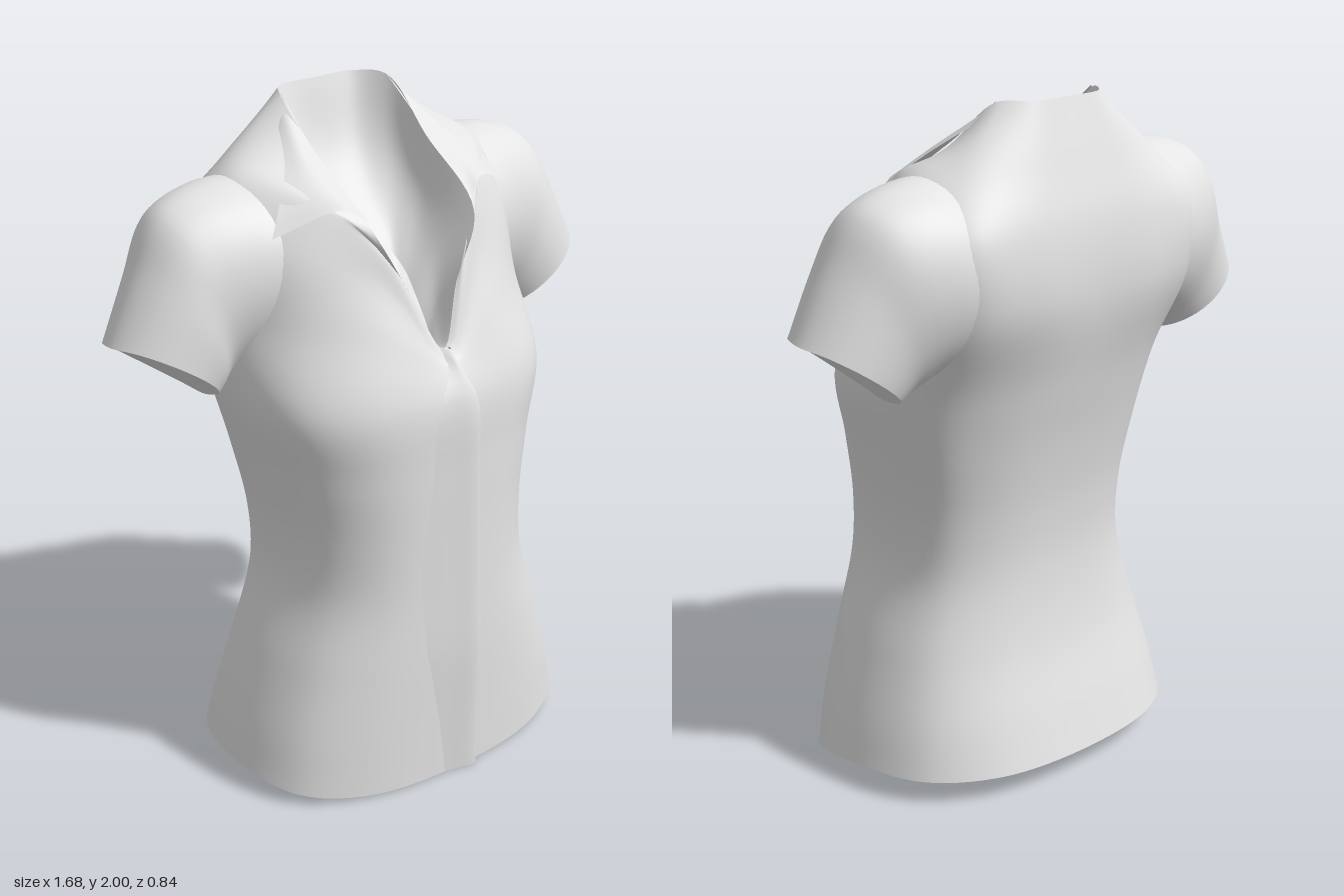
import * as THREE from 'three';

const V = (p) => new THREE.Vector3(...p);
const fabric = new THREE.MeshStandardMaterial({ color: 0xe4e4e4, side: THREE.DoubleSide });
fabric.name = 'light grey fabric';

// Grid surface from rows of points; wrap joins the last column to the first
function surface(name, rows, wrap) {
  const n = rows[0].length, pos = [], index = [];
  rows.forEach((row) => row.forEach((p) => pos.push(p.x, p.y, p.z)));
  for (let i = 0; i < rows.length - 1; i++) {
    for (let j = 0; j < (wrap ? n : n - 1); j++) {
      const k = (j + 1) % n;
      const a = i * n + j, b = i * n + k, c = a + n, d = b + n;
      index.push(a, b, c, b, d, c);
    }
  }
  const geo = new THREE.BufferGeometry();
  geo.setAttribute('position', new THREE.Float32BufferAttribute(pos, 3));
  geo.setIndex(index);
  geo.computeVertexNormals();
  const mesh = new THREE.Mesh(geo, fabric);
  mesh.name = name;
  return mesh;
}

// Smooth the control rings around and then across
function smoothRows(rings, closed, nu, nv) {
  const around = rings.map((r) => {
    const curve = new THREE.CatmullRomCurve3(r, closed);
    return Array.from({ length: closed ? nu : nu + 1 }, (_, j) => curve.getPoint(j / nu));
  });
  const across = around[0].map((_, j) => new THREE.CatmullRomCurve3(around.map((r) => r[j])));
  return Array.from({ length: nv + 1 }, (_, i) => across.map((c) => c.getPoint(i / nv)));
}

// Fan that closes an opening
function cap(name, ring, centre, flip) {
  const pts = flip ? [...ring].reverse() : ring;
  return surface(name, [pts, pts.map(() => centre)], true);
}

// Half ring from front centre to back centre, mirrored to a full ring
function mirrorRing(half) {
  const pts = half.map(V);
  for (let i = half.length - 2; i > 0; i--) pts.push(V([-half[i][0], half[i][1], half[i][2]]));
  return pts;
}

// Torso levels: height, half width, front z, back z
const levels = [
  [0, 0.575, 0.39, -0.41], [0.2, 0.545, 0.39, -0.37], [0.4, 0.485, 0.39, -0.31],
  [0.62, 0.415, 0.385, -0.28], [0.8, 0.415, 0.38, -0.285], [1, 0.455, 0.375, -0.315],
  [1.2, 0.505, 0.365, -0.36],
];

function levelRing([y, w, zf, zb]) {
  const cz = 0.04 - 0.07 * y, half = [];
  for (let i = 0; i <= 6; i++) {
    const t = (i * Math.PI) / 6, c = Math.cos(t);
    const d = Math.pow(Math.abs(c), 0.8);
    const hem = y === 0 ? 0.068 * (1 - Math.max(c, 0)) : 0;
    half.push([i % 6 ? w * Math.pow(Math.sin(t), 0.8) : 0, y + hem, cz + d * (c > 0 ? zf - cz : zb - cz)]);
  }
  return mirrorRing(half);
}

const neck = [[0, 1.33, 0.285], [0.085, 1.5, 0.24], [0.18, 1.68, 0.205], [0.193, 1.85, -0.02],
  [0.193, 1.995, -0.2], [0.13, 2, -0.28], [0, 2, -0.285]];
const upper = [
  [[0, 1.29, 0.325], [0.21, 1.4, 0.275], [0.42, 1.42, 0.13], [0.52, 1.45, -0.12],
    [0.46, 1.45, -0.35], [0.25, 1.45, -0.415], [0, 1.45, -0.415]],
  [[0, 1.305, 0.31], [0.18, 1.54, 0.225], [0.38, 1.62, 0.11], [0.51, 1.68, -0.1],
    [0.46, 1.66, -0.35], [0.25, 1.66, -0.405], [0, 1.66, -0.405]],
  [[0, 1.32, 0.297], [0.155, 1.61, 0.215], [0.29, 1.755, 0.105], [0.41, 1.825, -0.11],
    [0.37, 1.825, -0.26], [0.2, 1.83, -0.345], [0, 1.83, -0.35]],
];
const innerNeck = [
  [[0, 1.325, 0.265], [0.055, 1.42, 0.2], [0.12, 1.56, 0.12], [0.16, 1.69, -0.02],
    [0.15, 1.77, -0.14], [0.09, 1.78, -0.2], [0, 1.78, -0.215]],
  [[0, 1.32, 0.24], [0.02, 1.35, 0.2], [0.04, 1.43, 0.12], [0.055, 1.49, 0.05],
    [0.05, 1.53, 0], [0.03, 1.55, -0.015], [0, 1.555, -0.02]],
];

// Sleeve rings: top x, top y, bottom x, bottom y, half depth, centre z, lift of the front edge
const sleeveRings = [
  [0.34, 1.815, 0.36, 1.29, 0.25, -0.14, 0], [0.48, 1.815, 0.43, 1.275, 0.23, -0.15, 0],
  [0.6, 1.787, 0.475, 1.26, 0.208, -0.15, 0], [0.665, 1.745, 0.5, 1.245, 0.195, -0.145, 0],
  [0.74, 1.61, 0.522, 1.228, 0.182, -0.13, 0.01], [0.838, 1.42, 0.545, 1.21, 0.167, -0.12, 0.035],
];

function sleeve(side) {
  const group = new THREE.Group();
  group.name = side > 0 ? 'leftSleeve' : 'rightSleeve';
  const rings = sleeveRings.map(([tx, ty, bx, by, h, cz, lift]) => Array.from({ length: 12 }, (_, i) => {
    const a = (-side * i * Math.PI) / 6, k = (1 + Math.cos(a)) / 2;
    const up = lift * Math.max(0, Math.sin(a));
    return V([side * (bx + (tx - bx) * k - 0.6 * up), by + (ty - by) * k + 0.8 * up, cz + h * Math.sin(a)]);
  }));
  const rows = smoothRows(rings, true, 48, 30);
  group.add(surface('sleeveCloth', rows, true));
  group.add(cap('sleeveOpening', rows[30], V([side * 0.675, 1.34, -0.12])));
  return group;
}

// Folded collar leaf with its pointed tip
function collar(side) {
  const rows = [
    [[0.19, 2, -0.2], [0.2, 1.88, -0.05], [0.197, 1.78, 0.1], [0.186, 1.715, 0.19]],
    [[0.205, 1.98, -0.195], [0.25, 1.872, -0.035], [0.265, 1.8, 0.07], [0.25, 1.757, 0.15]],
    [[0.22, 1.955, -0.19], [0.3, 1.85, -0.045], [0.365, 1.78, 0.02], [0.43, 1.69, 0.065]],
  ].map((r) => r.map(([x, y, z]) => V([side * x, y, z])));
  if (side < 0) rows.reverse();
  return surface(side > 0 ? 'leftCollar' : 'rightCollar', smoothRows(rows, false, 16, 10), false);
}

export function createModel() {
  const model = new THREE.Group();
  model.name = 'blouse';

  // Torso with closed hem
  const rings = [...levels.map(levelRing), ...upper.map(mirrorRing), mirrorRing(neck)];
  const torso = smoothRows(rings, true, 96, 70);
  model.add(surface('torso', torso, true));
  model.add(cap('hemOpening', torso[0], V([0, 0.06, 0]), true));

  // Lining sinking into the neck opening
  const lining = smoothRows([mirrorRing(neck), ...innerNeck.map(mirrorRing)], true, 96, 16);
  model.add(surface('neckLining', lining, true));
  model.add(cap('neckLiningBase', lining[16], V([0, 1.42, 0.11])));

  // Overlapping button placket down the front
  const strip = [[0, 0.39], [0.2, 0.395], [0.42, 0.4], [0.62, 0.393], [0.8, 0.387],
    [1, 0.38], [1.2, 0.367], [1.3, 0.318], [1.335, 0.288]]
    .map(([y, z]) => [[-0.15, -0.022], [-0.05, 0.002], [0.044, 0.018], [0.056, -0.015]]
      .map(([x, dz]) => V([y > 1.25 ? x * 0.25 : x, y, z + dz])));
  model.add(surface('placket', smoothRows(strip, false, 12, 32), false));

  for (const side of [1, -1]) model.add(sleeve(side), collar(side));
  return model;
}
